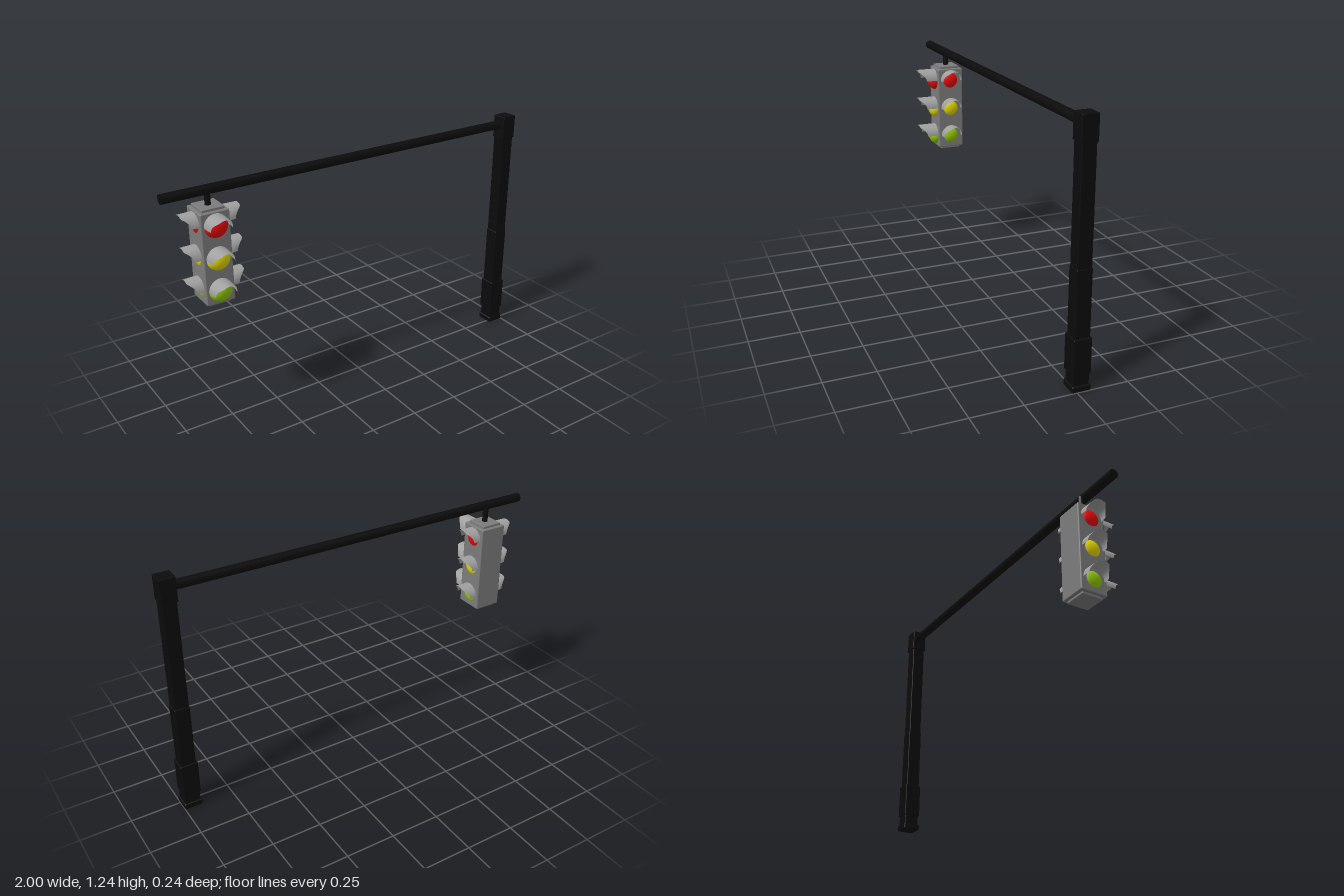
import * as THREE from 'three';
import { RoundedBoxGeometry } from 'three/addons/geometries/RoundedBoxGeometry.js';

const mat = (color, side = THREE.FrontSide) => new THREE.MeshStandardMaterial({ color, side });
const black = mat(0x0b0b0b);
const grey = mat(0x7c7c7c);
const visorGrey = mat(0xa0a0a0, THREE.DoubleSide);

const POLE_X = 0.955, POLE_Z = -0.021;
const LAMP_X = -0.773, LAMP_Z = -0.05;

function add(parent, name, geometry, material, x = 0, y = 0, z = 0) {
  const mesh = new THREE.Mesh(geometry, material);
  mesh.name = name;
  mesh.position.set(x, y, z);
  parent.add(mesh);
  return mesh;
}

// Square block with softened edges, from y0 to y1
function block(parent, name, w, y0, y1, d, bevel, material, x, z) {
  const g = new RoundedBoxGeometry(w, y1 - y0, d, 2, bevel);
  return add(parent, name, g, material, x, (y0 + y1) / 2, z);
}

// Half-tube hood along +z, its front edge sweeping forward towards the top
function visorGeometry() {
  const r = 0.058, g = new THREE.PlaneGeometry(1, 1, 28, 8);
  const p = g.attributes.position;
  for (let i = 0; i < p.count; i++) {
    const a = (p.getX(i) + 0.5) * Math.PI, t = p.getY(i) + 0.5;
    const h = Math.sin(a);
    const length = 0.062 + 0.038 * Math.min(1, h / 0.85) ** 2;
    const taper = 1 - 0.08 * t * t;
    p.setXYZ(i, -Math.cos(a) * r * taper, h * r, t * length);
  }
  g.computeVertexNormals();
  return g;
}

// Domed lens bulging along +z
function lensGeometry() {
  const g = new THREE.SphereGeometry(0.057, 32, 12, 0, Math.PI * 2, 0, Math.PI / 2);
  g.rotateX(Math.PI / 2);
  g.scale(1, 1, 0.67);
  return g;
}

export function createModel() {
  const model = new THREE.Group();
  model.name = 'trafficLight';

  // Post: foot, neck, sleeve, two shaft sections and head
  const post = new THREE.Group();
  post.name = 'post';
  model.add(post);
  [
    ['foot', 0.09, 0, 0.03, 0.006],
    ['neck', 0.077, 0.02, 0.09, 0.004],
    ['sleeve', 0.087, 0.08, 0.255, 0.004],
    ['lowerShaft', 0.074, 0.24, 0.575, 0.004],
    ['upperShaft', 0.069, 0.56, 1.13, 0.004],
    ['head', 0.078, 1.115, 1.235, 0.003],
  ].forEach(([name, w, y0, y1, b]) => block(post, name, w, y0, y1, w, b, black, POLE_X, POLE_Z));

  // Horizontal arm and the hanger beneath it
  const arm = add(model, 'arm', new THREE.CylinderGeometry(0.023, 0.023, 1.95, 20), black, -0.025, 1.185, -0.031);
  arm.rotation.z = Math.PI / 2;
  add(model, 'hanger', new THREE.CylinderGeometry(0.014, 0.014, 0.09, 16), black, LAMP_X, 1.142, -0.048);

  // Signal housing with end caps
  const signal = new THREE.Group();
  signal.name = 'signal';
  signal.position.set(LAMP_X, 0, LAMP_Z);
  model.add(signal);
  block(signal, 'housing', 0.143, 0.642, 1.094, 0.143, 0.006, grey, 0, 0);
  block(signal, 'topCap', 0.112, 1.08, 1.107, 0.112, 0.004, grey, 0, 0);
  block(signal, 'bottomCap', 0.112, 0.63, 0.66, 0.112, 0.004, grey, 0, 0);

  // Three lamps on the front and both sides; the side lamps sit deeper
  const lens = lensGeometry(), visor = visorGeometry();
  const lamps = [['red', 0xee0808, 1.029], ['yellow', 0xe8dc00, 0.869], ['green', 0x94cc08, 0.71]];
  const faces = [['front', 0, 0.071], ['left', Math.PI / 2, 0.045], ['right', -Math.PI / 2, 0.045]];
  for (const [faceName, angle, depth] of faces) {
    const face = new THREE.Group();
    face.name = faceName + 'Lamps';
    face.rotation.y = angle;
    signal.add(face);
    for (const [colorName, color, y] of lamps) {
      add(face, colorName + 'Lens', lens, mat(color), 0, y, depth);
      add(face, colorName + 'Visor', visor, visorGrey, 0, y, depth);
    }
  }
  return model;
}
